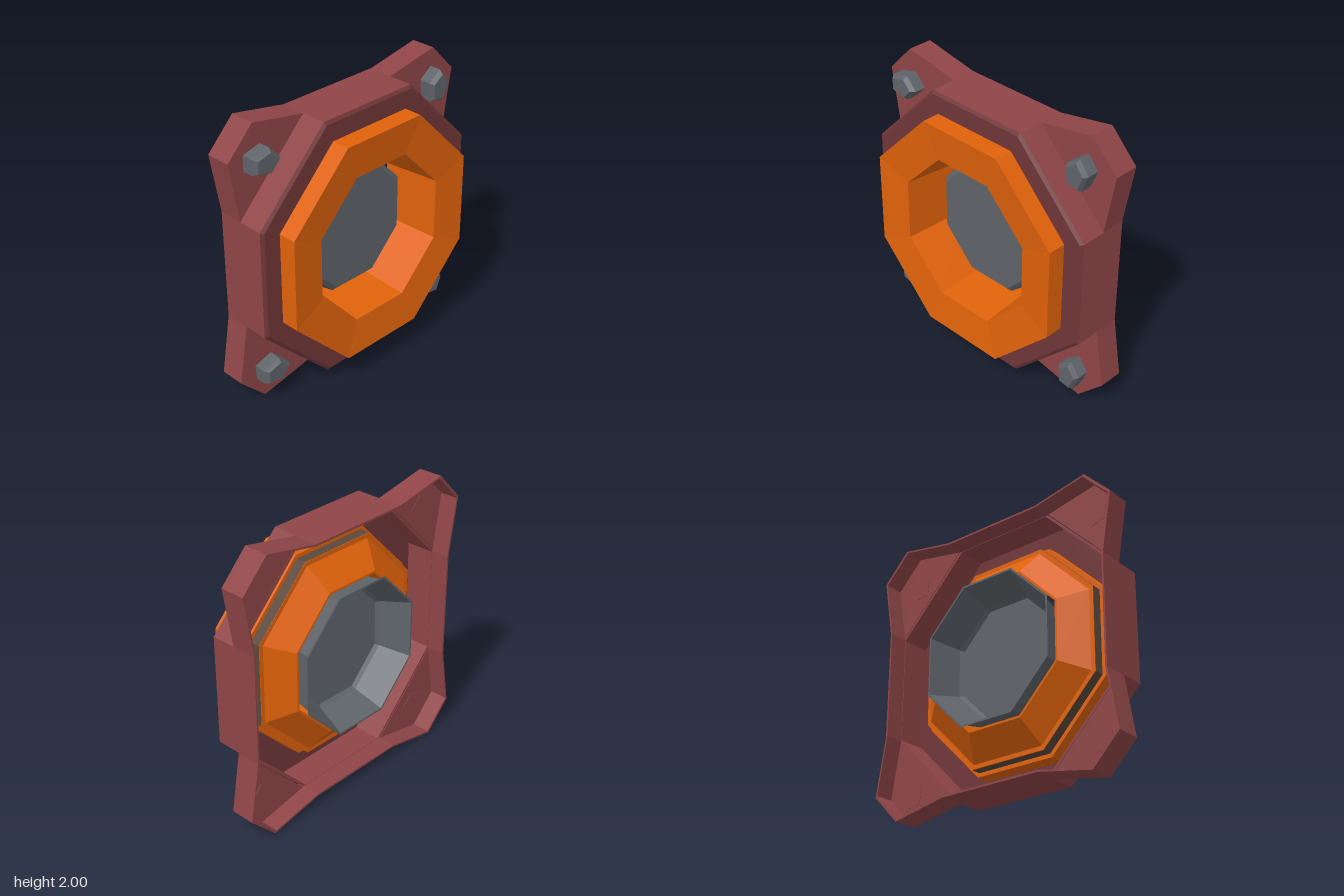
import * as THREE from 'three';

const mat = (name, color) => Object.assign(new THREE.MeshStandardMaterial({ color }), { name });

export function createModel() {
  const maroon = mat('maroon', 0x8f4547);
  const darkMaroon = mat('dark maroon', 0x703638);
  const orange = mat('orange', 0xe0620a);
  const steel = mat('steel grey', 0x5f646a);
  const brown = mat('dark brown', 0x5a483c);

  const model = new THREE.Group();
  model.name = 'wallPort';

  function add(name, geometry, material, x = 0, y = 0) {
    const mesh = new THREE.Mesh(geometry, material);
    mesh.name = name;
    mesh.position.set(x, y + 1, 0);
    model.add(mesh);
  }

  // Faceted turned shape about z; profile is [radius, z] pairs
  function turned(profile, sides, angle) {
    const points = profile.map(([r, z]) => new THREE.Vector2(r, z));
    const g = new THREE.LatheGeometry(points, sides, angle + Math.PI / 2).rotateX(Math.PI / 2).toNonIndexed();
    g.computeVertexNormals();
    return g;
  }

  // Octagon measured across its flats, a little taller than wide
  function octagon(profile) {
    const k = 1 / Math.cos(Math.PI / 8);
    const g = turned(profile.map(([r, z]) => [r * k, z]), 8, Math.PI / 8);
    return g.scale(1, 1.02, 1);
  }

  // Five-sided shape, longer along the direction of its point
  const pentagon = (profile, turn) => turned(profile, 5, 0).scale(1.08, 0.82, 1).rotateZ(turn);

  // Flat slab between two depths
  const slab = (shape, back, front) =>
    new THREE.ExtrudeGeometry(shape, { depth: front - back, bevelEnabled: false }).translate(0, 0, back);

  // Hollow octagonal body: inner wall, outer wall, then the darker front and inner floor
  add('flangeBody', octagon([[0.888, 0.105], [0.888, -0.1], [0.905, -0.1], [0.905, 0.118]]), maroon);
  add('flangeFace', octagon([
    [0.905, 0.118], [0.885, 0.135], [0.7, 0.135], [0.7, 0.105], [0.888, 0.105],
  ]), darkMaroon);

  // Thin skirt around the body and all four lugs, open to the back
  const lug = [[0.905, 0.386], [0.975, 0.8], [0.78, 1], [0.381, 0.923]];
  const flipped = [...lug].reverse();
  const outline = [
    ...lug,
    ...flipped.map(([x, y]) => [-x, y]),
    ...lug.map(([x, y]) => [-x, -y]),
    ...flipped.map(([x, y]) => [x, -y]),
  ];
  const skirt = new THREE.Shape(outline.map(([x, y]) => new THREE.Vector2(x, y)));
  skirt.holes.push(new THREE.Path(outline.map(([x, y]) => new THREE.Vector2(x * 0.985, y * 0.985))));
  add('skirt', slab(skirt, -0.231, -0.056), maroon);

  // Orange collar: slightly dished face, long tapering throat, conical back
  add('collar', octagon([
    [0.725, 0.02], [0.735, 0.13], [0.765, 0.13], [0.765, 0.263], [0.52, 0.237], [0.49, -0.18],
    [0.505, -0.18], [0.665, -0.05], [0.695, -0.05], [0.695, 0.02], [0.725, 0.02],
  ]), orange);
  add('collarSeal', octagon([[0.698, -0.05], [0.698, 0.02]]), brown);

  // Central dish, open to the back
  add('centreDish', octagon([
    [0, -0.035], [0.385, -0.035], [0.405, -0.06], [0.482, -0.265], [0.495, -0.265],
    [0.472, -0.235], [0.435, -0.03], [0.405, 0], [0, 0],
  ]), steel);

  // Lug plates, set in from the back of the skirt, with five-sided bolts
  const corners = [
    [1, 1, 0.745, 0.757, 1.43], [-1, 1, -0.765, 0.765, 0],
    [1, -1, 0.757, -0.787, 1.43], [-1, -1, -0.75, -0.773, 0.05],
  ];
  for (const [sx, sy, boltX, boltY, turn] of corners) {
    const shape = new THREE.Shape(lug.map(([x, y]) => new THREE.Vector2(x * sx, y * sy)));
    add('cornerLug', slab(shape, -0.101, -0.056), maroon);
    add('bolt', pentagon([[0, -0.09], [0.11, -0.09], [0.11, 0.025], [0.085, 0.055], [0, 0.055]], turn),
      steel, boltX, boltY);
    add('boltBackPlate', pentagon([[0, -0.104], [0.1, -0.104], [0.1, -0.098]], turn),
      maroon, boltX, boltY);
  }
  return model;
}
